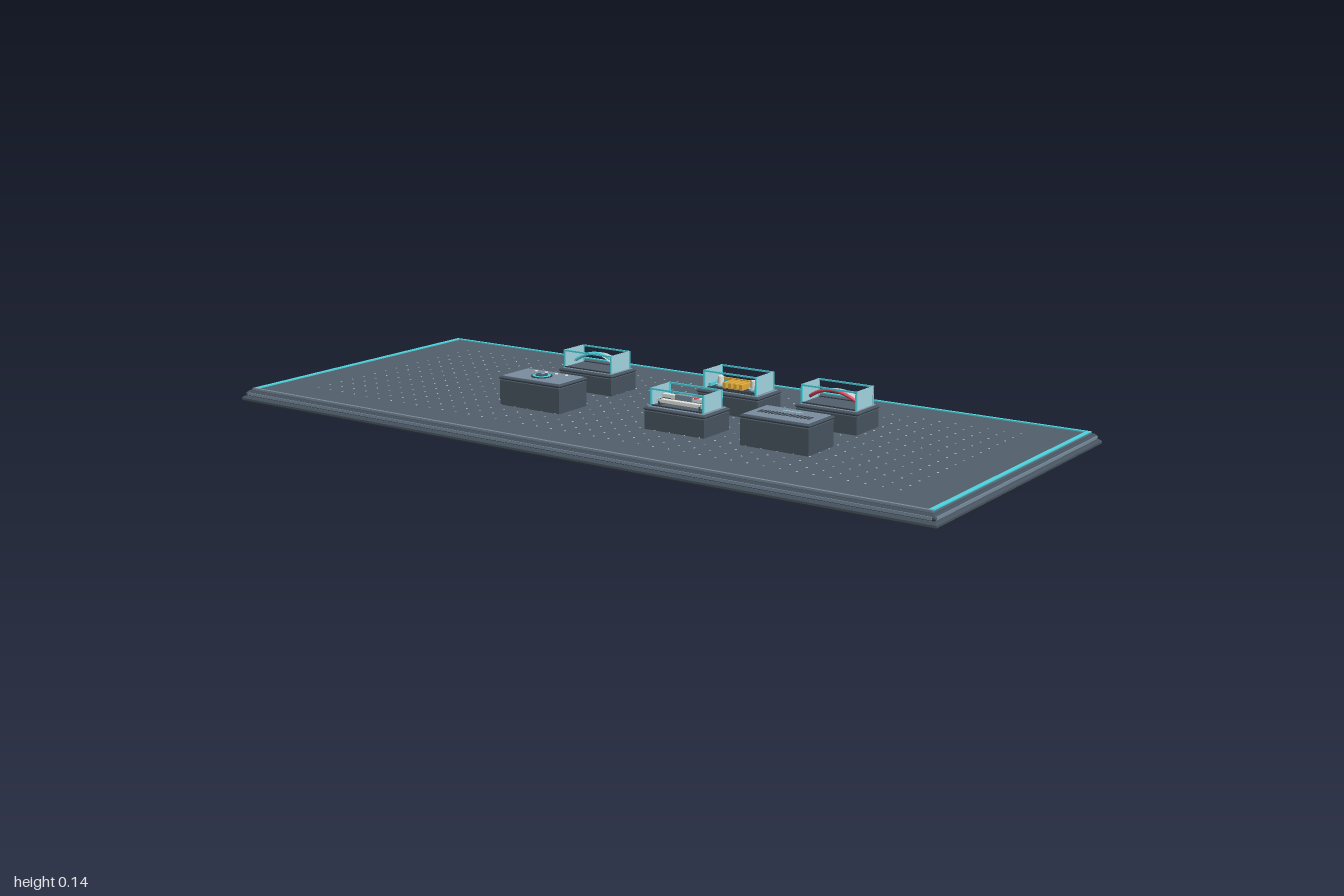
import * as THREE from 'three';
import { mergeGeometries } from 'three/addons/utils/BufferGeometryUtils.js';

const mat = (name, color) => {
  const m = new THREE.MeshStandardMaterial({ color });
  m.name = name;
  return m;
};

export function createModel() {
  const M = {
    deck: mat('slate deck', 0x525f6b), dark: mat('charcoal trim', 0x39434c),
    body: mat('case grey', 0x475460), steel: mat('panel steel', 0x7b8d9f),
    teal: mat('teal', 0x4fd6e2), glass: mat('pale glass', 0xa4d6e2),
    cream: mat('cream', 0xf0f1ec), red: mat('red', 0xe2465a),
    amber: mat('amber', 0xf2b63c), face: mat('face grey', 0xc3ced3),
  };
  M.face.side = THREE.DoubleSide;
  const root = new THREE.Group();
  root.name = 'instrumentBoard';

  const add = (parent, name, geo, material, x = 0, y = 0, z = 0) => {
    const m = new THREE.Mesh(geo, material);
    m.name = name;
    m.position.set(x, y, z);
    parent.add(m);
    return m;
  };
  // Box given by its centre in x and z, and its bottom
  const box = (p, name, w, h, d, material, x, y, z) =>
    add(p, name, new THREE.BoxGeometry(w, h, d), material, x, y + h / 2, z);
  // Slab with chamfered edges between y0 and y1
  const slab = (p, name, w, d, y0, y1, b, material) => {
    const s = new THREE.Shape(), hw = w / 2 - b, hd = d / 2 - b;
    s.moveTo(-hw, -hd).lineTo(hw, -hd).lineTo(hw, hd).lineTo(-hw, hd).closePath();
    const g = new THREE.ExtrudeGeometry(s, {
      depth: y1 - y0 - 2 * b, bevelEnabled: true, bevelSize: b, bevelThickness: b, bevelSegments: 1 });
    g.rotateX(-Math.PI / 2);
    return add(p, name, g, material, 0, y0 + b, 0);
  };
  const disc = (p, name, r, h, material, x, y, z) =>
    add(p, name, new THREE.CylinderGeometry(r, r, h, 24), material, x, y + h / 2, z);

  // Layered base board with an inlaid border
  slab(root, 'lowerRim', 2, 0.85, 0.004, 0.019, 0.005, M.body);
  slab(root, 'deckEdge', 1.985, 0.835, 0.017, 0.033, 0.006, M.body);
  slab(root, 'deck', 1.966, 0.816, 0.028, 0.036, 0.002, M.deck);
  for (const s of [-1, 1]) {
    box(root, 'sideBand', 0.004, 0.007, 0.822, M.steel, s * 0.9915, 0.0215, 0);
    box(root, 'endBand', 1.97, 0.007, 0.004, M.steel, 0, 0.0215, s * 0.4165);
    box(root, 'sideInlay', 0.011, 0.003, 0.8, M.teal, s * 0.974, 0.036, 0);
  }
  box(root, 'backInlay', 1.96, 0.003, 0.009, M.teal, 0, 0.036, -0.402);
  box(root, 'frontInlay', 1.96, 0.003, 0.007, M.steel, 0, 0.036, 0.402);

  // Grid of tiny studs
  const studs = [];
  for (let i = -20; i <= 20; i++) {
    for (let j = -7; j <= 7; j++) {
      studs.push(new THREE.BoxGeometry(0.0035, 0.001, 0.0035).translate(i * 0.0425, 0.0365, j * 0.0425));
    }
  }
  add(root, 'deckStuds', mergeGeometries(studs), M.face);

  // Case with lid, rear panel and coloured rear sockets
  const makeCase = (name, x, z, w, d, h, accent) => {
    const g = new THREE.Group();
    g.name = name;
    g.position.set(x, 0, z);
    root.add(g);
    slab(g, 'case', w, d, 0, h - 0.006, 0.004, M.body);
    slab(g, 'lid', w + 0.004, d + 0.002, h - 0.008, h, 0.003, M.body);
    slab(g, 'topPanel', w - 0.01, d - 0.01, h - 0.002, h + 0.002, 0.001, M.steel);
    box(g, 'rearPanel', w - 0.02, h - 0.055, 0.004, M.dark, 0, 0.045, -d / 2 - 0.001);
    [accent, M.cream, M.amber, M.cream].forEach((m, i) => {
      const s = add(g, 'rearSocket', new THREE.CylinderGeometry(0.006, 0.006, 0.004, 24), m,
        (i - 1.5) * 0.034, 0.054, -d / 2 - 0.004);
      s.rotation.x = Math.PI / 2;
    });
    for (const s of [-1, 1]) {
      const k = add(g, 'rearKnob', new THREE.CylinderGeometry(0.008, 0.008, 0.004, 24), M.cream,
        s * 0.048, h - 0.019, -d / 2 - 0.004);
      k.rotation.x = Math.PI / 2;
      add(g, 'knobCap', new THREE.SphereGeometry(0.0055, 24, 16), accent, s * 0.048, h - 0.019, -d / 2 - 0.006);
    }
    return g;
  };

  // Open display case: pale end panes and slim teal rails
  const addDisplay = (g, w, d, y0, y1, zc) => {
    box(g, 'displayFloor', w, 0.002, d, M.deck, 0, y0 + 0.001, zc);
    for (const s of [-1, 1]) {
      box(g, 'endPane', 0.0015, y1 - y0, d, M.glass, s * w / 2, y0, zc);
      box(g, 'topRail', w, 0.004, 0.004, M.teal, 0, y1 - 0.004, zc + s * d / 2);
      box(g, 'floorRail', w, 0.003, 0.003, M.dark, 0, y0 + 0.002, zc + s * d / 2);
      for (const t of [-1, 1]) {
        box(g, 'cornerPost', 0.004, y1 - y0, 0.004, M.teal, s * w / 2, y0, zc + t * d / 2);
      }
    }
  };

  // Curved scale: pale arched sheet with a coloured arc along it
  const addArch = (g, accent, y0, rise, sign) => {
    const n = 32, w = 0.13, pts = [];
    const geo = new THREE.PlaneGeometry(w, 0.034, n, 4).rotateX(-Math.PI / 2);
    const p = geo.attributes.position;
    const height = (x) => y0 + rise * (1 - (2 * x / w) ** 2);
    const bow = (x) => -sign * 0.008 * (1 - (2 * x / w) ** 2);
    for (let i = 0; i < p.count; i++) {
      const x = p.getX(i);
      p.setY(i, height(x));
      p.setZ(i, p.getZ(i) + bow(x));
    }
    geo.computeVertexNormals();
    add(g, 'archedFace', geo, M.face, 0, 0, 0.002);
    for (let i = 0; i <= n; i++) {
      const x = (i / n - 0.5) * w;
      pts.push(new THREE.Vector3(x, height(x) + 0.001, bow(x) + (sign > 0 ? 0.008 : 0.018)));
    }
    add(g, 'colouredArc', new THREE.TubeGeometry(new THREE.CatmullRomCurve3(pts), 48, 0.0042, 20), accent);
  };

  // Back row: two arched meters
  for (const [name, x, accent, sign] of [['tealMeter', -0.252, M.teal, 1], ['redMeter', 0.46, M.red, -1]]) {
    const g = makeCase(name, x, -0.113, 0.165, 0.106, 0.09, accent);
    addDisplay(g, 0.148, 0.08, 0.09, 0.138, 0.002);
    addArch(g, accent, 0.105, 0.023, sign);
  }

  // Back row: coil rig with amber bars and two pale columns
  const coil = makeCase('coilRig', 0.182, -0.113, 0.175, 0.106, 0.09, M.amber);
  addDisplay(coil, 0.15, 0.08, 0.09, 0.138, 0.002);
  box(coil, 'coilBed', 0.14, 0.004, 0.066, M.dark, 0, 0.092, 0.002);
  for (let i = 0; i < 4; i++) {
    box(coil, 'amberBar', 0.009, 0.014, 0.05, M.amber, (i - 1.5) * 0.016, 0.096, 0.006);
  }
  box(coil, 'tealBar', 0.13, 0.006, 0.01, M.teal, 0, 0.1, -0.026);
  box(coil, 'crossBar', 0.13, 0.006, 0.006, M.amber, 0, 0.106, -0.018);
  for (const s of [-1, 1]) {
    disc(coil, 'columnFoot', 0.013, 0.005, M.glass, s * 0.048, 0.096, 0.008);
    disc(coil, 'column', 0.008, 0.024, M.cream, s * 0.048, 0.096, 0.008);
    box(coil, 'sideStrip', 0.005, 0.008, 0.056, M.teal, s * 0.066, 0.096, 0.004);
  }

  // Front row: rail rig with pale bars and a central block
  const rail = makeCase('railRig', 0.182, 0.116, 0.17, 0.108, 0.09, M.amber);
  addDisplay(rail, 0.148, 0.078, 0.09, 0.135, 0.002);
  for (const s of [-1, 0, 1]) {
    box(rail, 'paleRail', 0.13, 0.008, 0.014, M.cream, 0, 0.1 + (s ? 0 : 0.008), 0.002 + s * 0.023);
  }
  box(rail, 'pointer', 0.005, 0.003, 0.03, M.red, 0.034, 0.116, 0.002);
  box(rail, 'centreBlock', 0.046, 0.02, 0.026, M.steel, 0, 0.1, 0.002);
  box(rail, 'blockCap', 0.036, 0.003, 0.014, M.cream, 0, 0.12, 0.002);
  for (const s of [-1, 1]) box(rail, 'railSupport', 0.005, 0.016, 0.06, M.body, s * 0.058, 0.092, 0.002);

  // Front row: dial console
  const dial = makeCase('dialConsole', -0.251, 0.115, 0.186, 0.112, 0.109, M.amber);
  disc(dial, 'dialRing', 0.027, 0.002, M.dark, 0, 0.111, 0.005);
  disc(dial, 'dialBand', 0.023, 0.002, M.teal, 0, 0.112, 0.005);
  disc(dial, 'dialKnob', 0.016, 0.004, M.body, 0, 0.112, 0.005);
  box(dial, 'dialPointer', 0.004, 0.001, 0.012, M.teal, 0, 0.116, 0.0);
  for (let i = 0; i < 4; i++) disc(dial, 'lamp', 0.0045, 0.002, M.cream, (i - 1.5) * 0.032, 0.111, -0.033);

  // Front row: grille console
  const grille = makeCase('grilleConsole', 0.458, 0.115, 0.182, 0.112, 0.109, M.amber);
  for (let i = -7; i <= 7; i++) {
    box(grille, 'grilleSlot', 0.005, 0.001, 0.022, M.dark, i * 0.0095, 0.111, 0.008);
  }
  box(grille, 'labelStrip', 0.05, 0.001, 0.005, M.glass, 0, 0.111, -0.025);

  return root;
}
